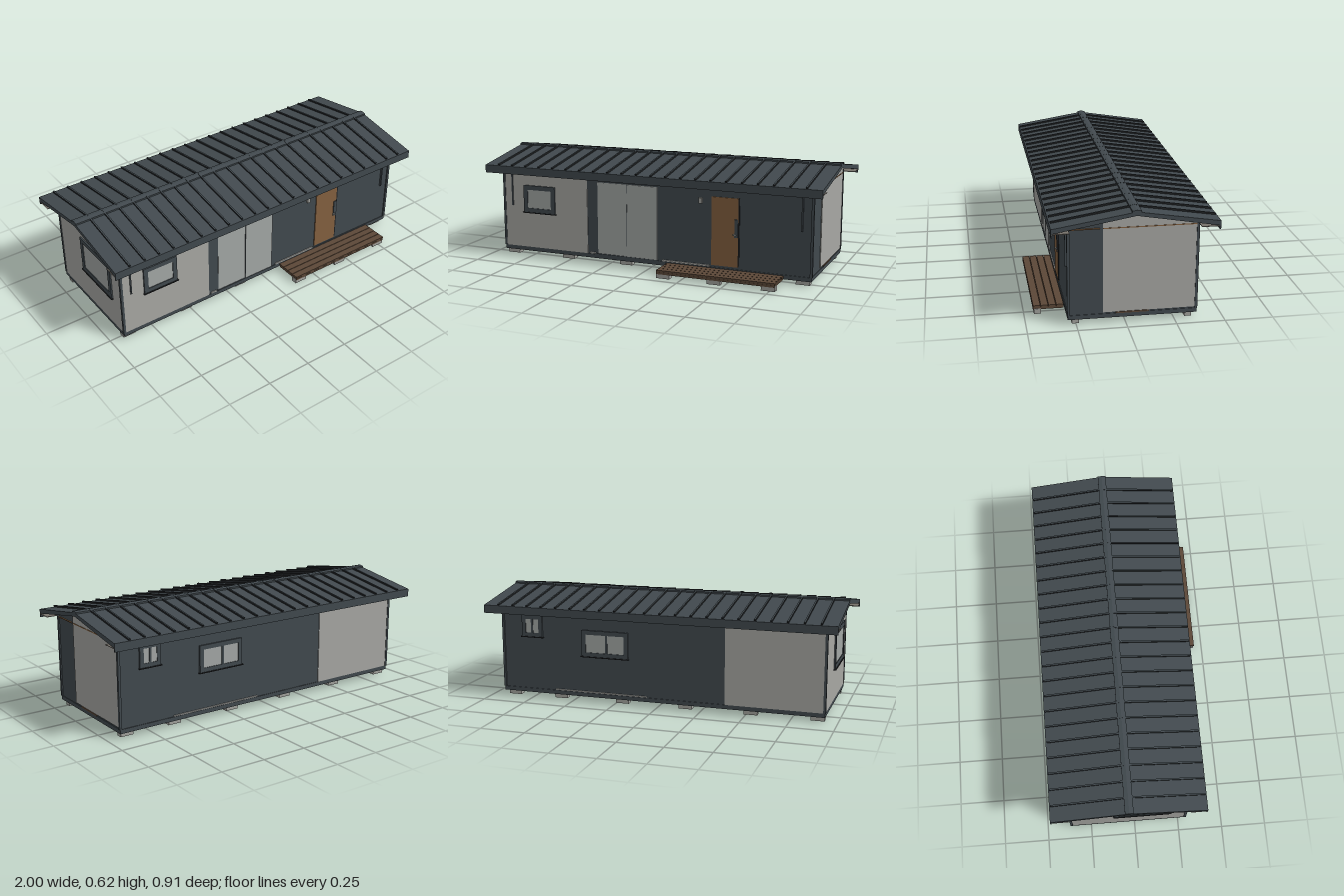
import * as THREE from 'three';

const mat = (name, color) => {
  const m = new THREE.MeshStandardMaterial({ color });
  m.name = name;
  return m;
};

export function createModel() {
  const dark = mat('slate grey', 0x41494e);
  const black = mat('near black', 0x1f2123);
  const light = mat('light cladding', 0xa7a7a3);
  const glass = mat('pale glass', 0xa3a7a5);
  const wood = mat('door wood', 0x83603f);
  const deckWood = mat('deck brown', 0x5c4838);
  const concrete = mat('concrete', 0xa2a29d);
  const soffitGrey = mat('soffit', 0x77726b);

  const model = new THREE.Group();
  model.name = 'cabin';

  // Box given by its min and max on each axis
  const box = (name, m, x0, x1, y0, y1, z0, z1, parent = model) => {
    const mesh = new THREE.Mesh(new THREE.BoxGeometry(x1 - x0, y1 - y0, z1 - z0), m);
    mesh.position.set((x0 + x1) / 2, (y0 + y1) / 2, (z0 + z1) / 2);
    mesh.name = name;
    parent.add(mesh);
    return mesh;
  };
  // Profile of [z, y] points extruded along x
  const profile = (name, m, pts, x0, x1) => {
    const shape = new THREE.Shape(pts.map(([z, y]) => new THREE.Vector2(-z, y)));
    const geo = new THREE.ExtrudeGeometry(shape, { depth: x1 - x0, bevelEnabled: false });
    geo.rotateY(Math.PI / 2).translate(x0, 0, 0);
    const mesh = new THREE.Mesh(geo, m);
    mesh.name = name;
    model.add(mesh);
    return mesh;
  };

  const RIDGE = -0.04, HALF = 0.415, X = 0.93, ZF = 0.288, ZB = -0.362;
  const under = z => 0.587 - Math.abs(z - RIDGE) * 0.1735;

  // Body with gabled ends, floor and base rail
  profile('walls', dark, [[ZF, 0.035], [ZF, under(ZF)], [RIDGE, under(RIDGE)], [ZB, under(ZB)], [ZB, 0.035]], -X, X);
  box('floor', black, -X, X, 0.028, 0.035, ZB, ZF);
  for (const [z0, z1] of [[ZF - 0.004, ZF + 0.004], [ZB - 0.004, ZB + 0.004]])
    box('baseRail', dark, -X - 0.003, X + 0.003, 0.027, 0.05, z0, z1);
  for (const s of [-1, 1])
    box('endBaseRail', dark, s * X - 0.003, s * X + 0.003, 0.027, 0.05, ZB, ZF);

  // Corner posts
  for (const x of [-X, X]) for (const z of [ZF, ZB])
    box('cornerPost', dark, x - 0.007, x + 0.007, 0.05, 0.525, z - 0.007, z + 0.007);

  // Light cladding areas
  box('frontCladding', light, -X, -0.385, 0.05, 0.515, ZF, ZF + 0.004);
  box('backCladding', light, -X, -0.385, 0.05, 0.515, ZB - 0.004, ZB);
  const gable = (zMax, y0, x0) => profile('gableCladding', light,
    [[zMax, y0], [zMax, under(zMax)], [RIDGE, under(RIDGE)], [ZB, under(ZB)], [ZB, y0]], x0, x0 + 0.004);
  gable(0.115, 0.058, X);
  gable(ZF, 0.05, -X - 0.004);
  box('gableStrip', wood, X, X + 0.006, 0.504, 0.509, ZB, 0.115);
  box('gableStrip', wood, X, X + 0.006, 0.504, 0.509, 0.13, ZF);
  box('endThreshold', deckWood, X, X + 0.006, 0.049, 0.057, -0.12, 0.05);

  // Pale strips along the bottom of the walls
  box('bottomStrip', light, -0.37, -0.335, 0.052, 0.06, ZF, ZF + 0.006);
  box('bottomStrip', light, 0.08, 0.36, 0.052, 0.06, ZF, ZF + 0.006);
  box('bottomStrip', light, 0.06, 0.61, 0.052, 0.058, ZB - 0.006, ZB);

  // Sliding glass door in two overlapping leaves
  box('slidingDoorLeft', glass, -0.32, -0.135, 0.055, 0.47, ZF, ZF + 0.002);
  box('slidingDoorRight', glass, -0.135, 0.05, 0.055, 0.47, ZF, ZF + 0.006);
  box('slidingDoorEdge', dark, -0.137, -0.135, 0.055, 0.47, ZF, ZF + 0.007);
  box('slidingDoorSill', dark, -0.325, 0.055, 0.048, 0.055, ZF, ZF + 0.008);

  // Entrance door with handle
  box('door', wood, 0.37, 0.523, 0.062, 0.443, ZF, ZF + 0.005);
  box('doorJamb', black, 0.523, 0.53, 0.07, 0.443, ZF, ZF + 0.005);
  box('doorLock', dark, 0.503, 0.522, 0.228, 0.328, ZF + 0.005, ZF + 0.01);
  box('doorHandle', concrete, 0.495, 0.512, 0.24, 0.246, ZF + 0.01, ZF + 0.016);
  box('wallLamp', concrete, 0.297, 0.315, 0.402, 0.432, ZF, ZF + 0.015);
  for (const x of [-0.875, 0.875])
    box('wallBar', dark, x - 0.004, x + 0.004, 0.295, 0.475, ZF, ZF + 0.01);

  // Framed window, facing local +z
  const makeWindow = (name, w, h, f, bars) => {
    const g = new THREE.Group();
    g.name = name;
    const a = w / 2, b = h / 2, d = 0.01;
    box('pane', glass, -a + f, a - f, -b + f, b - f, 0, 0.006, g);
    box('frameTop', dark, -a, a, b - f, b, 0, d, g);
    box('frameBottom', dark, -a, a, -b, -b + f, 0, d, g);
    for (const s of [-1, 1])
      box('frameSide', dark, s * (a - f / 2) - f / 2, s * (a - f / 2) + f / 2, -b + f, b - f, 0, d, g);
    for (const x of bars) box('mullion', dark, x - 0.006, x + 0.006, -b + f, b - f, 0, d, g);
    box('sill', black, -a - 0.005, a + 0.005, -b - 0.004, -b + 0.001, 0, 0.015, g);
    model.add(g);
    return g;
  };
  makeWindow('frontWindow', 0.205, 0.16, 0.026, []).position.set(-0.695, 0.34, ZF + 0.002);
  const small = makeWindow('smallBackWindow', 0.125, 0.125, 0.023, [0]);
  small.position.set(0.748, 0.417, ZB);
  small.rotation.y = Math.PI;
  const wide = makeWindow('wideBackWindow', 0.275, 0.15, 0.024, [0.01]);
  wide.position.set(0.307, 0.337, ZB);
  wide.rotation.y = Math.PI;
  const end = makeWindow('endWindow', 0.315, 0.215, 0.026, []);
  end.position.set(-X - 0.002, 0.337, 0.04);
  end.rotation.y = -Math.PI / 2;

  // Roof shell, ridge cap, gutters and soffits
  const zf = RIDGE + HALF, zb = RIDGE - HALF;
  profile('roof', dark, [[zf, 0.515], [zf, 0.54], [RIDGE, 0.607], [zb, 0.54], [zb, 0.515], [RIDGE, 0.587]], -1, 1);
  profile('ridgeCap', dark, [[RIDGE + 0.023, 0.602], [RIDGE + 0.023, 0.612], [RIDGE, 0.616],
    [RIDGE - 0.023, 0.612], [RIDGE - 0.023, 0.602]], -1, 1);
  const ribMaterials = [black, black, dark, dark, black, black];
  const tilt = Math.atan2(0.067, HALF);
  for (const s of [1, -1]) {
    const eave = RIDGE + s * HALF, wall = s > 0 ? ZF : ZB;
    box('eaveFascia', dark, -1, 1, 0.495, 0.54, eave - 0.003, eave + 0.003);
    box('soffit', soffitGrey, -1, 1, 0.511, 0.514, Math.min(eave, wall), Math.max(eave, wall));
    // Standing seams
    for (let i = 1; i < 23; i++) {
      const rib = new THREE.Mesh(new THREE.BoxGeometry(0.009, 0.012, 0.414), ribMaterials);
      rib.name = 'roofSeam';
      rib.position.set(-1 + (i * 2) / 23, 0.577, RIDGE + s * HALF / 2);
      rib.rotation.x = s * tilt;
      model.add(rib);
    }
  }

  // Deck boards on bearers
  const boards = 4, pitch = 0.16 / boards;
  for (let i = 0; i < boards; i++)
    box('deckBoard', deckWood, 0.11, 0.78, 0.036, 0.046, 0.295 + i * pitch, 0.295 + (i + 1) * pitch - 0.003);
  box('deckFrame', deckWood, 0.112, 0.778, 0.024, 0.036, 0.296, 0.453);

  // Foundation blocks
  const foot = (name, x, z) => box(name, concrete, x - 0.038, x + 0.038, 0, 0.028, z - 0.018, z + 0.018);
  for (const x of [-0.89, -0.525, -0.155, 0.215, 0.59, 0.88])
    for (const z of [0.252, -0.325]) foot('foundationBlock', x, z);
  for (const x of [0.148, 0.44, 0.742]) foot('deckBlock', x, 0.43);

  return model;
}
